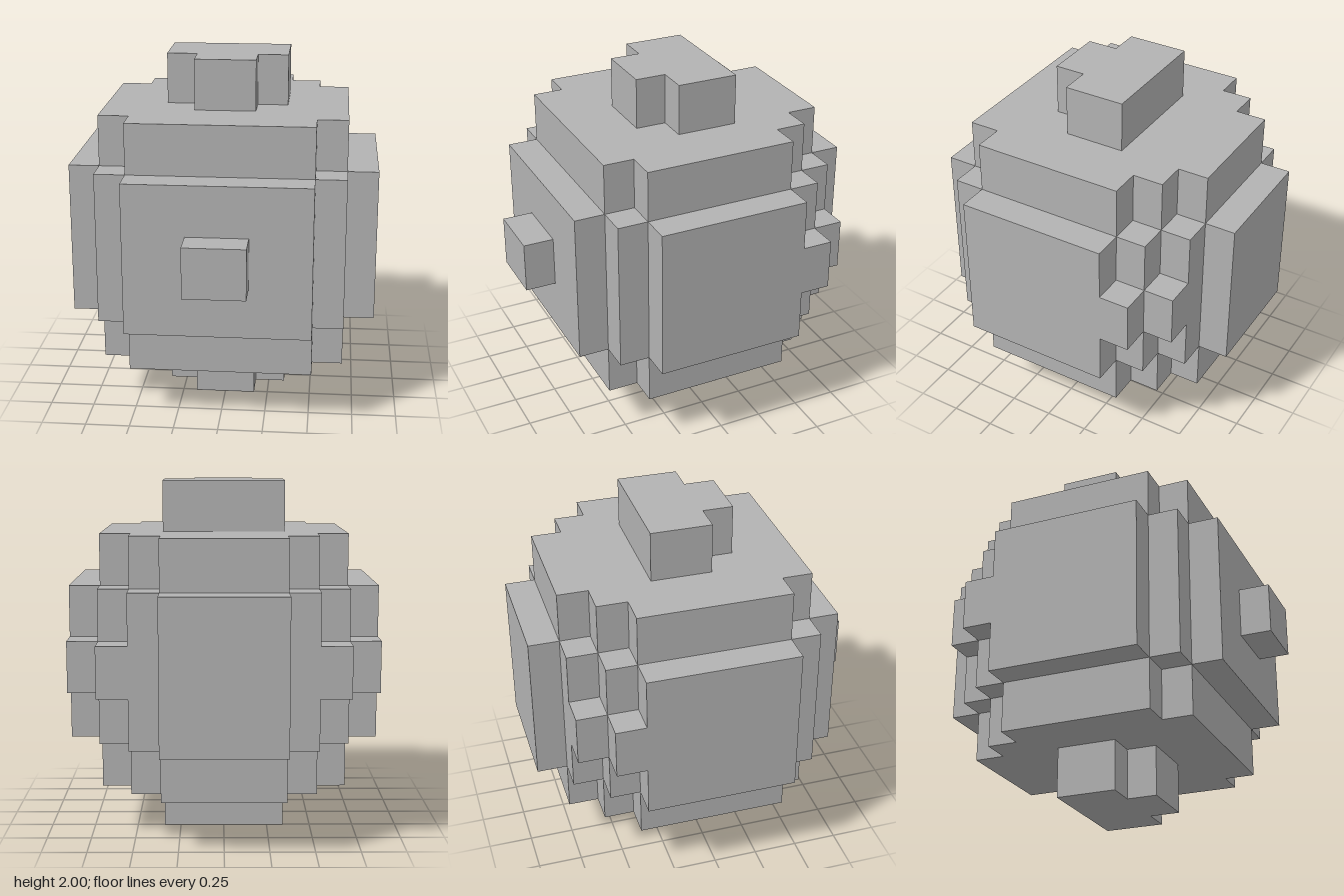
import * as THREE from 'three';

const CELL = 12 / 70;  // block size in x and z
const LAYER = 2 / 7;   // block height

// Plans as rows from back to front: [half width, z end], starting at z = start
const cap = { start: -1.5, rows: [[2, 0.5], [1, 1.5]] };
const shoulder = { start: -4.5, rows: [[2, -3.5], [3, -2.5], [4, 2.5], [3, 3.5]] };
const body = { start: -5.5, rows: [[2, -4.5], [3, -3.5], [4, -2.5], [5, 2.5], [4, 3.5], [3, 4.5]] };
const waist = { start: -5.5, rows: [[2, -4.5], [4, -3.5], [5, 2.5], [4, 3.5], [3, 4.5], [1, 5.5]] };

// Stepped, mirrored outline raised to one layer
function layerGeometry({ start, rows }) {
  const side = [];
  let z = start;
  for (const [half, end] of rows) {
    side.push([half, z], [half, end]);
    z = end;
  }
  const mirrored = side.map(([x, zz]) => [-x, zz]).reverse();
  const points = [...side, ...mirrored].map(([x, zz]) => new THREE.Vector2(x * CELL, -zz * CELL));
  const geometry = new THREE.ExtrudeGeometry(new THREE.Shape(points), { depth: LAYER, bevelEnabled: false });
  return geometry.rotateX(-Math.PI / 2);
}

export function createModel() {
  const model = new THREE.Group();
  model.name = 'blockBall';

  const grey = new THREE.MeshStandardMaterial({ color: 0xb2b2b2 });
  grey.name = 'grey';

  // Layers stacked from the ground up
  const layers = [
    ['bottomCap', cap],
    ['lowerShoulder', shoulder],
    ['lowerBody', body],
    ['waistWithNose', waist],
    ['upperBody', body],
    ['upperShoulder', shoulder],
    ['topCap', cap],
  ];
  layers.forEach(([name, plan], i) => {
    const mesh = new THREE.Mesh(layerGeometry(plan), grey);
    mesh.name = name;
    mesh.position.y = i * LAYER;
    model.add(mesh);
  });

  return model;
}
